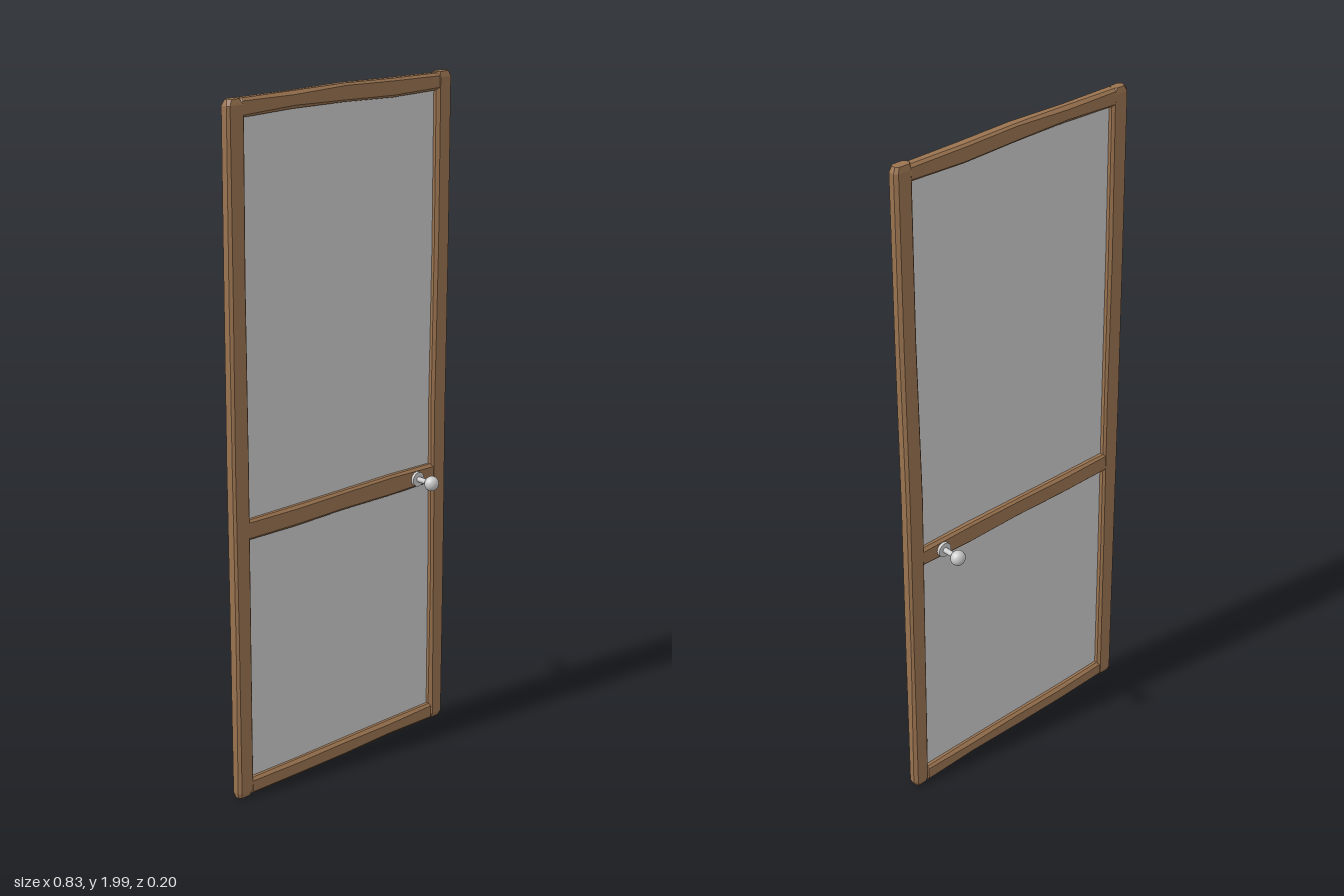
import * as THREE from 'three';

const wood = new THREE.MeshStandardMaterial({ color: 0x9a7350, flatShading: true });
const screenMat = new THREE.MeshStandardMaterial({ color: 0xcccccc, side: THREE.DoubleSide });
const metal = new THREE.MeshStandardMaterial({ color: 0xcccccc });

// Small seeded random, -1..1
function seeded(seed) {
  let s = seed;
  return () => {
    s = (s * 16807) % 2147483647;
    return (s / 2147483647) * 2 - 1;
  };
}

// Hand-hewn plank along y, lofted from slightly uneven chamfered sections
function plankGeometry(length, width, depth, seed) {
  const rand = seeded(seed);
  const stations = [0, 0.008, 0.25, 0.5, 0.75, 0.992, 1];
  const pos = [], index = [];
  stations.forEach((t, k) => {
    const end = k === 0 || k === stations.length - 1;
    const hw = width / 2 - (end ? 0.005 : 0) + rand() * 0.0015;
    const hd = depth / 2 - (end ? 0.005 : 0) + rand() * 0.001;
    const c = 0.008 + rand() * 0.002;
    const ox = rand() * 0.003, oz = rand() * 0.0008;
    const ring = [
      [hw, -hd + c], [hw, hd - c], [hw - c, hd], [-hw + c, hd],
      [-hw, hd - c], [-hw, -hd + c], [-hw + c, -hd], [hw - c, -hd],
    ];
    for (const [x, z] of ring) pos.push(x + ox, (t - 0.5) * length, z + oz);
  });
  const n = 8, last = (stations.length - 1) * n;
  for (let k = 0; k < stations.length - 1; k++) {
    for (let i = 0; i < n; i++) {
      const a = k * n + i, b = k * n + ((i + 1) % n);
      index.push(a, a + n, b, b, a + n, b + n);
    }
  }
  for (let i = 1; i < n - 1; i++) {
    index.push(0, i, i + 1, last, last + i + 1, last + i);
  }
  const indexed = new THREE.BufferGeometry();
  indexed.setAttribute('position', new THREE.Float32BufferAttribute(pos, 3));
  indexed.setIndex(index);
  const g = indexed.toNonIndexed();
  g.computeVertexNormals();
  return g;
}

function add(parent, name, geometry, material, x, y, z) {
  const mesh = new THREE.Mesh(geometry, material);
  mesh.name = name;
  mesh.position.set(x, y, z);
  parent.add(mesh);
  return mesh;
}

// Rose, shank and ball, pointing along +z
function knob(name) {
  const g = new THREE.Group();
  g.name = name;
  const rose = new THREE.CylinderGeometry(0.022, 0.022, 0.012, 20).rotateX(Math.PI / 2);
  const shank = new THREE.CylinderGeometry(0.008, 0.008, 0.05, 14).rotateX(Math.PI / 2);
  const ball = new THREE.SphereGeometry(0.0225, 20, 14).rotateX(Math.PI / 2).scale(1, 1, 0.9);
  add(g, 'knobRose', rose, metal, 0, 0, 0.02);
  add(g, 'knobShank', shank, metal, 0, 0, 0.043);
  add(g, 'knobBall', ball, metal, 0, 0, 0.079);
  return g;
}

export function createModel() {
  const door = new THREE.Group();
  door.name = 'screenDoor';

  // Upright stiles
  add(door, 'rightStile', plankGeometry(1.985, 0.057, 0.036, 11), wood, -0.386, 1.0, -0.001);
  add(door, 'leftStile', plankGeometry(1.99, 0.057, 0.036, 47), wood, 0.386, 1.002, -0.001);

  // Cross rails: name, centre height, width, seed
  const rails = [
    ['topRail', 1.97, 0.05, 5],
    ['middleRail', 0.81, 0.06, 23],
    ['bottomRail', 0.033, 0.05, 71],
  ];
  for (const [name, y, width, seed] of rails) {
    const geo = plankGeometry(0.74, width, 0.034, seed).rotateZ(Math.PI / 2);
    add(door, name, geo, wood, 0, y, -0.001);
  }

  // Screens between the rails
  for (const [name, y0, y1] of [['lowerScreen', 0.04, 0.81], ['upperScreen', 0.81, 1.965]]) {
    add(door, name, new THREE.PlaneGeometry(0.74, y1 - y0), screenMat, 0, (y0 + y1) / 2, -0.001);
  }

  // Knobs on both faces
  const front = knob('frontKnob'), back = knob('backKnob');
  back.rotation.y = Math.PI;
  for (const k of [front, back]) {
    k.position.set(0.289, 0.81, -0.001);
    door.add(k);
  }
  return door;
}
